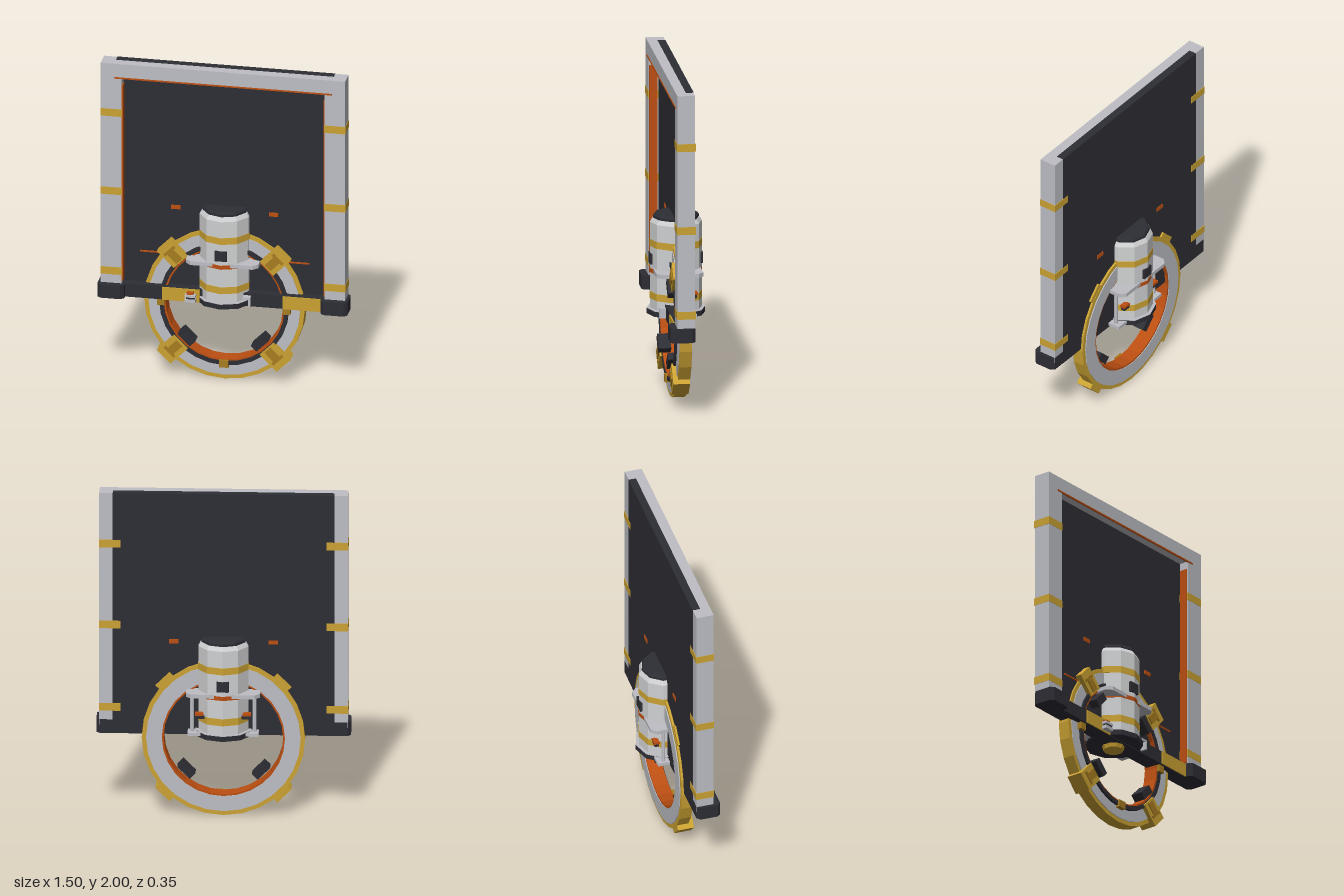
import * as THREE from 'three';

const mat = (name, color) => {
  const m = new THREE.MeshStandardMaterial({ color });
  m.name = name;
  return m;
};

export function createModel() {
  const grey = mat('frame grey', 0xbdbec4);
  const pale = mat('hull pale grey', 0xd0d1d2);
  const dark = mat('charcoal', 0x2d2d35);
  const gold = mat('gold', 0xcba233);
  const bronze = mat('dark gold', 0xa67c20);
  const orange = mat('burnt orange', 0xbc4f12);
  const model = new THREE.Group();

  // Faceted mesh from any geometry
  const add = (name, geo, material, parent = model) => {
    const g = geo.index ? geo.toNonIndexed() : geo;
    g.computeVertexNormals();
    const mesh = new THREE.Mesh(g, material);
    mesh.name = name;
    parent.add(mesh);
    return mesh;
  };
  // Box given by its limits on each axis
  const box = (name, material, x0, x1, y0, y1, z0, z1, parent) =>
    add(name, new THREE.BoxGeometry(x1 - x0, y1 - y0, z1 - z0)
      .translate((x0 + x1) / 2, (y0 + y1) / 2, (z0 + z1) / 2), material, parent);
  // Upright ten-sided drum
  const drum = (name, material, rTop, rBottom, y0, y1) =>
    add(name, new THREE.CylinderGeometry(rTop, rBottom, y1 - y0, 10)
      .translate(0, (y0 + y1) / 2, 0), material);
  // Horizontal slab with chamfered corners
  const slab = (name, material, x0, x1, y0, y1, z0, z1, c) => {
    const s = new THREE.Shape([
      [x0 + c, -z1], [x1 - c, -z1], [x1, -z1 + c], [x1, -z0 - c],
      [x1 - c, -z0], [x0 + c, -z0], [x0, -z0 - c], [x0, -z1 + c],
    ].map(([x, y]) => new THREE.Vector2(x, y)));
    return add(name, new THREE.ExtrudeGeometry(s, { depth: y1 - y0, bevelEnabled: false })
      .rotateX(-Math.PI / 2).translate(0, y0, 0), material);
  };

  // Portal frame and back panel
  box('panel', dark, -0.655, 0.655, 0.5, 2, -0.022, 0.025);
  box('topBeam', grey, -0.735, 0.735, 1.91, 1.999, -0.02, 0.085);
  box('baseBar', dark, -0.62, 0.62, 0.5, 0.583, -0.021, 0.08);
  box('topStripe', orange, -0.655, 0.655, 1.905, 1.914, 0.08, 0.089);
  for (const s of [-1, 1]) {
    const span = (a, b) => (s > 0 ? [a, b] : [-b, -a]);
    box('post', grey, ...span(0.61, 0.735), 0.55, 1.95, -0.02, 0.085);
    for (const y of [0.64, 1.155, 1.66])
      box('postBand', gold, ...span(0.608, 0.737), y, y + 0.047, -0.024, 0.087);
    slab('cornerFoot', dark, ...span(0.59, 0.752), 0.5, 0.585, -0.021, 0.125, 0.02);
    box('innerStripe', orange, ...span(0.603, 0.611), 0.6, 1.86, 0.03, 0.08);
    box('panelMarker', orange, ...span(0.265, 0.322), 1.067, 1.092, -0.027, 0.03);
    box('sideStripe', orange, ...span(0.3, 0.51), 0.776, 0.785, 0.024, 0.031);
  }
  box('barPlate', gold, 0.36, 0.587, 0.501, 0.582, 0.07, 0.087);
  box('barPlate', gold, -0.365, -0.14, 0.501, 0.582, 0.07, 0.087);

  // Ring assembly, built about its own centre
  const ring = new THREE.Group();
  ring.name = 'ring';
  ring.position.y = 0.485;
  model.add(ring);
  const hoop = (name, material, r0, r1, z0, z1) =>
    add(name, new THREE.LatheGeometry(
      [[r0, z0], [r1, z0], [r1, z1], [r0, z1], [r0, z0]].map(([r, z]) => new THREE.Vector2(r, z)), 28)
      .rotateX(Math.PI / 2).scale(1, 1, 1), material, ring);
  hoop('ringRim', gold, 0.45, 0.483, -0.036, 0.036);
  hoop('ringBody', grey, 0.364, 0.457, -0.042, 0.041);
  hoop('ringTrack', dark, 0.364, 0.39, 0.03, 0.055);
  hoop('ringLiner', orange, 0.353, 0.367, -0.038, 0.05);
  for (let i = 0; i < 4; i++) {
    // Diagonal clamps with inner pads
    const clamp = new THREE.Group();
    clamp.name = 'clamp';
    clamp.rotation.z = Math.PI / 4 + i * Math.PI / 2;
    ring.add(clamp);
    box('clampBlock', gold, 0.365, 0.51, -0.058, 0.058, -0.034, 0.066, clamp);
    box('clampInset', bronze, 0.375, 0.45, -0.025, 0.025, 0.06, 0.072, clamp);
    box('clampLip', bronze, 0.45, 0.468, -0.042, 0.042, 0.06, 0.071, clamp);
    box('clampPad', dark, 0.288, 0.336, -0.052, 0.052, 0.005, 0.08, clamp);
    // Small tabs on the quarters
    const tab = new THREE.Group();
    tab.name = 'tab';
    tab.rotation.z = i * Math.PI / 2;
    ring.add(tab);
    box('tabBlock', bronze, 0.355, 0.4, -0.028, 0.028, 0.03, 0.068, tab);
  }

  // Central capsule
  drum('capsuleBody', pale, 0.155, 0.155, 0.53, 1.06);
  drum('capsuleShoulder', pale, 0.141, 0.155, 1.06, 1.085);
  drum('capsuleCap', dark, 0.137, 0.137, 1.08, 1.1);
  drum('capsuleCapTop', dark, 0.128, 0.137, 1.1, 1.112);
  for (const [y0, y1] of [[0.597, 0.64], [0.915, 0.957]])
    drum('capsuleBand', gold, 0.157, 0.157, y0, y1);
  drum('capsuleStripe', orange, 0.157, 0.157, 0.755, 0.78);
  slab('collar', grey, -0.218, 0.218, 0.763, 0.787, -0.14, 0.14, 0.03);
  drum('baseDisc', dark, 0.174, 0.174, 0.505, 0.536);
  drum('baseDiscTop', grey, 0.174, 0.174, 0.536, 0.54);
  drum('baseNozzle', gold, 0.068, 0.06, 0.475, 0.506);
  for (const z of [-0.15, 0.15])
    box('capsuleWindow', dark, -0.036, 0.036, 0.808, 0.872, z - 0.008, z + 0.008);

  // Support rods, valves and feet beside the capsule
  for (const s of [-1, 1]) {
    add('supportRod', new THREE.CylinderGeometry(0.012, 0.012, 0.24, 8)
      .translate(s * 0.185, 0.65, -0.06), grey);
    box('rodFoot', grey, s * 0.165 - 0.045, s * 0.165 + 0.045, 0.515, 0.535, -0.1, -0.025);
    box('valve', dark, s * 0.135 - 0.025, s * 0.135 + 0.025, 0.625, 0.645, -0.105, -0.08);
    box('valveHandle', orange, s * 0.14 - 0.025, s * 0.14 + 0.025, 0.645, 0.66, -0.11, -0.075);
  }

  // Front latch on the base bar
  box('latchLower', grey, -0.225, -0.16, 0.51, 0.53, 0.08, 0.12);
  box('latchUpper', grey, -0.225, -0.16, 0.542, 0.556, 0.08, 0.12);
  box('latchCore', dark, -0.215, -0.165, 0.53, 0.542, 0.08, 0.115);
  box('latchTip', orange, -0.215, -0.175, 0.556, 0.57, 0.085, 0.11);
  box('catchPost', grey, 0.157, 0.169, 0.51, 0.57, 0.08, 0.12);
  box('catchArm', grey, 0.125, 0.169, 0.558, 0.57, 0.08, 0.12);

  return model;
}
